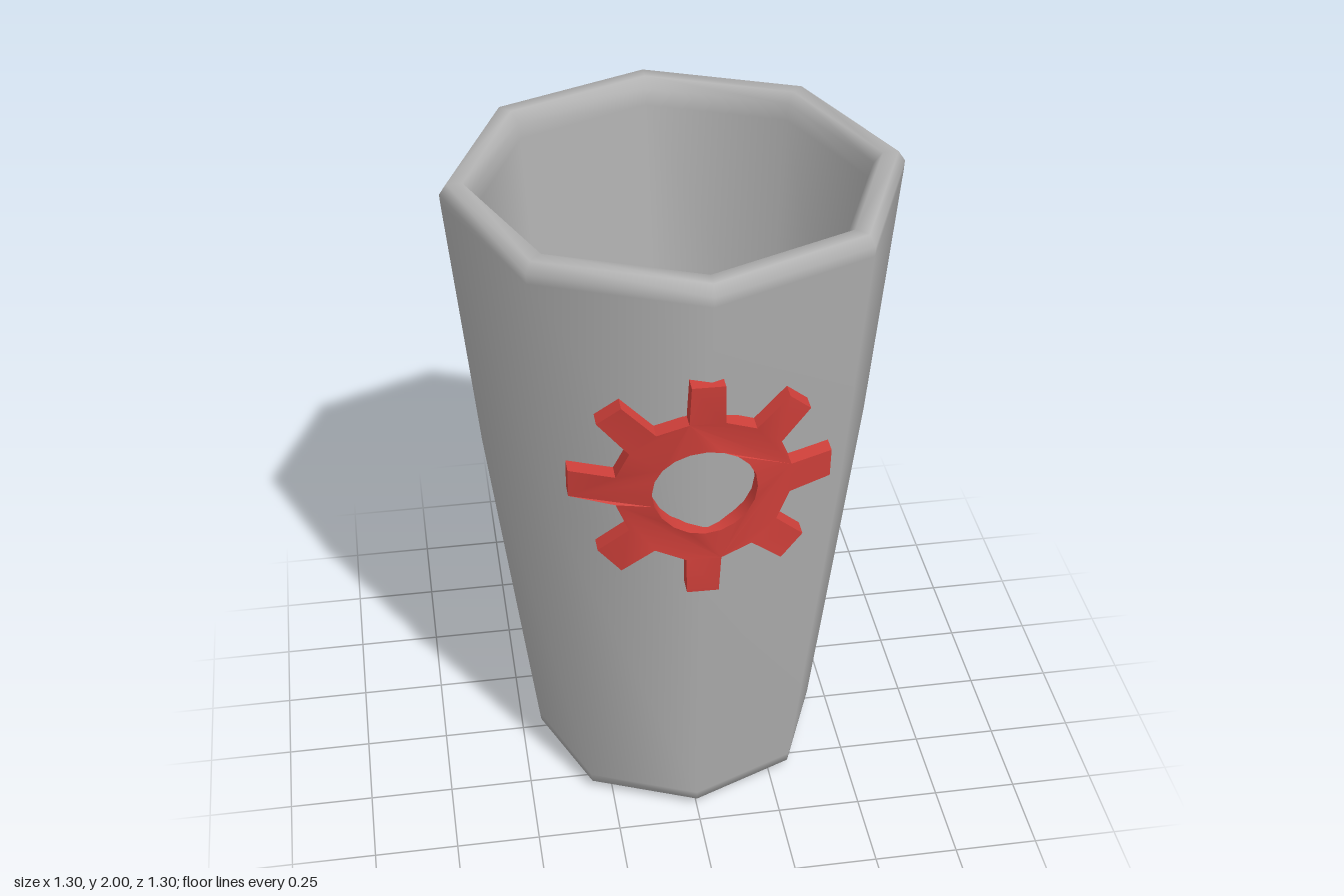
import * as THREE from 'three';
import { toCreasedNormals } from 'three/addons/utils/BufferGeometryUtils.js';

export function createModel() {
  const group = new THREE.Group();
  const grey = new THREE.MeshStandardMaterial({ color: 0xb2b2b2 });
  grey.name = 'cupGrey';
  const red = new THREE.MeshStandardMaterial({ color: 0xd0403a });
  red.name = 'gearRed';

  // Cup: eight-sided lathe, up the outer wall, over the rim and down inside
  const profile = [
    [0, 0], [0.385, 0], [0.40, 0.004], [0.44, 0.03], [0.444, 0.06],
    [0.575, 1.15], [0.648, 1.94], [0.65, 1.97], [0.63, 2.0], [0.585, 2.0],
    [0.56, 1.97], [0.555, 1.92], [0.49, 1.15], [0.38, 0.22], [0.34, 0.12],
    [0.22, 0.08], [0, 0.07],
  ].map(([r, y]) => new THREE.Vector2(r, y));
  const cup = new THREE.Mesh(new THREE.LatheGeometry(profile, 8), grey);
  cup.name = 'cup';
  group.add(cup);

  // Gear outline: eight slightly tapered teeth around a straight-sided hub
  const teeth = 8, root = 0.24, tip = 0.363;
  const outline = [];
  for (let i = 0; i < teeth; i++) {
    const a = (i / teeth) * Math.PI * 2;
    const add = (r, w) => outline.push(new THREE.Vector2(
      r * Math.cos(a) - w * Math.sin(a), r * Math.sin(a) + w * Math.cos(a)));
    add(root, -0.049);
    add(tip, -0.045);
    add(tip, 0.045);
    add(root, 0.049);
  }
  const shape = new THREE.Shape(outline);
  shape.holes.push(new THREE.Path().absarc(0, 0, 0.145, 0, Math.PI * 2, true));
  const gearGeo = new THREE.ExtrudeGeometry(shape, {
    depth: 0.05, bevelEnabled: false, curveSegments: 10,
  });

  // Wrap the gear round the front and lean it along the tapering wall
  const pos = gearGeo.attributes.position;
  for (let i = 0; i < pos.count; i++) {
    const x = pos.getX(i) - 0.012, y = pos.getY(i);
    pos.setXYZ(i, x, y + 1.337, 0.567 + pos.getZ(i) + 0.09 * y - 0.74 * x * x);
  }
  const gear = new THREE.Mesh(toCreasedNormals(gearGeo, 0.6), red);
  gear.name = 'gearEmblem';
  group.add(gear);

  return group;
}
